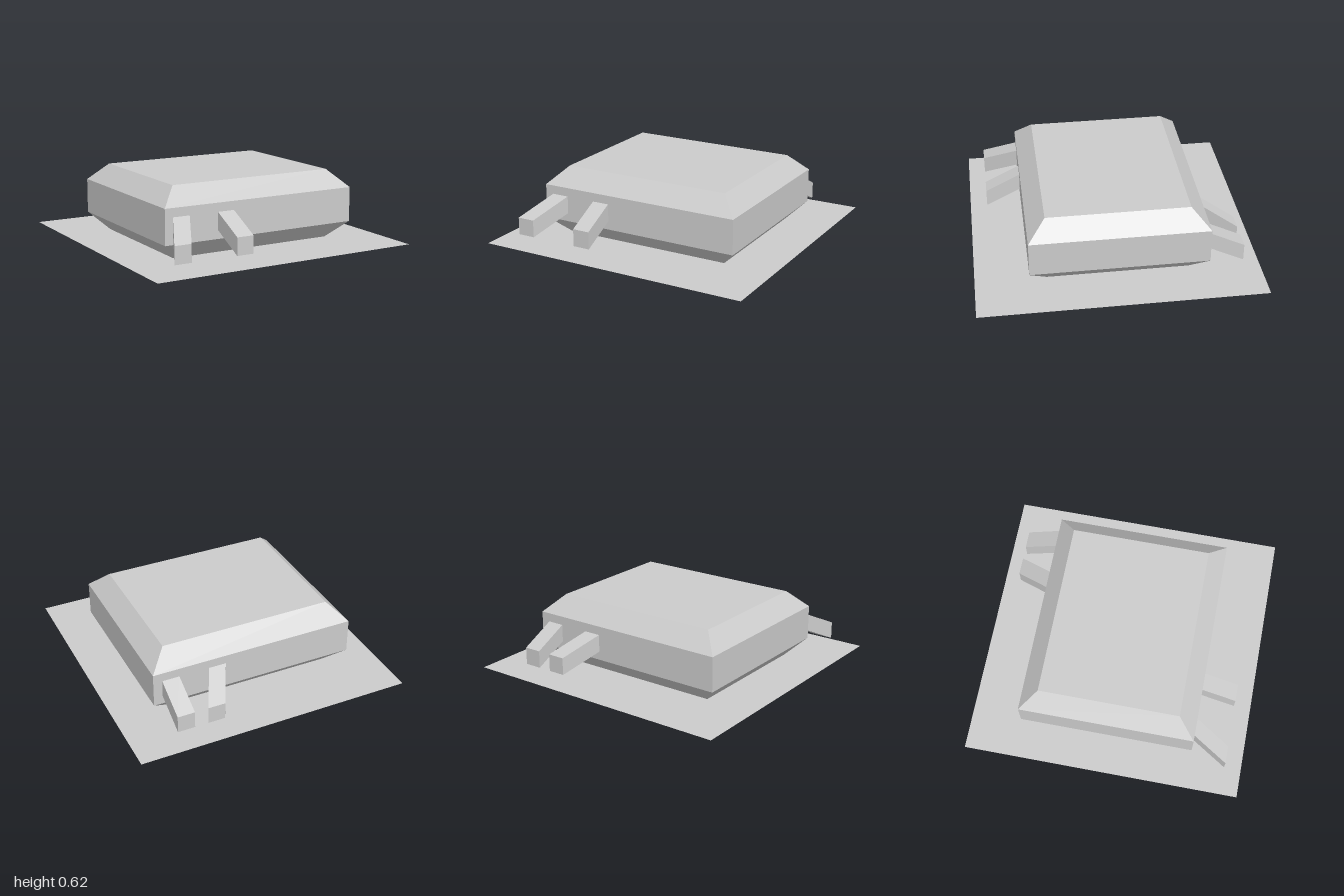
import * as THREE from 'three';

const material = new THREE.MeshStandardMaterial({ color: 0xcccccc, flatShading: true });

// Solid skinned over four-cornered rings; each ring runs anticlockwise seen from its far end.
function loft(rings) {
  const pos = [];
  const quad = (a, b, c, d) => pos.push(...a, ...b, ...c, ...a, ...c, ...d);
  for (let r = 0; r < rings.length - 1; r++) {
    const lo = rings[r], hi = rings[r + 1];
    for (let i = 0; i < 4; i++) {
      const j = (i + 1) % 4;
      quad(lo[i], lo[j], hi[j], hi[i]);
    }
  }
  const first = rings[0], last = rings[rings.length - 1];
  quad(first[3], first[2], first[1], first[0]);
  quad(...last);
  const geometry = new THREE.BufferGeometry();
  geometry.setAttribute('position', new THREE.Float32BufferAttribute(pos, 3));
  geometry.computeVertexNormals();
  return geometry;
}

// Horizontal rectangle at height y
const level = (w, d, y) => [[-w, y, d], [w, y, d], [w, y, -d], [-w, y, -d]];

// Upright square at depth z, 0.125 on a side
const square = (x, y, z, h = 0.0625) =>
  [[x - h, y - h, z], [x + h, y - h, z], [x + h, y + h, z], [x - h, y + h, z]];

export function createModel() {
  const group = new THREE.Group();
  const add = (name, geometry, mat = material) => {
    const mesh = new THREE.Mesh(geometry, mat);
    mesh.name = name;
    group.add(mesh);
    return mesh;
  };

  // Chamfered body with a tapered underside
  add('body', loft([
    level(0.375, 0.25, 0),
    level(0.625, 0.5, 0.125),
    level(0.75, 0.625, 0.25),
    level(0.75, 0.625, 0.5),
    level(0.625, 0.5, 0.625),
  ]));

  // Thin square sheet around the underside
  const sheetMaterial = material.clone();
  sheetMaterial.side = THREE.DoubleSide;
  const sheet = add('surfaceSheet', new THREE.PlaneGeometry(2, 2).rotateX(-Math.PI / 2), sheetMaterial);
  sheet.position.y = 0.125;

  // Sloping arms: a straight and a slanted one at each end; back pair is the front pair turned round
  const arms = [
    ['frontStraightArm', -0.286, -0.286, 1],
    ['frontSlantedArm', -0.627, -0.752, 1],
    ['backStraightArm', -0.623, -0.623, -1],
    ['backSlantedArm', -0.278, -0.402, -1],
  ];
  for (const [name, rootX, tipX, facing] of arms) {
    const arm = add(name, loft([square(rootX, 0.375, 0.624), square(tipX, 0.25, 0.875)]));
    if (facing < 0) arm.rotation.y = Math.PI;
  }

  return group;
}
